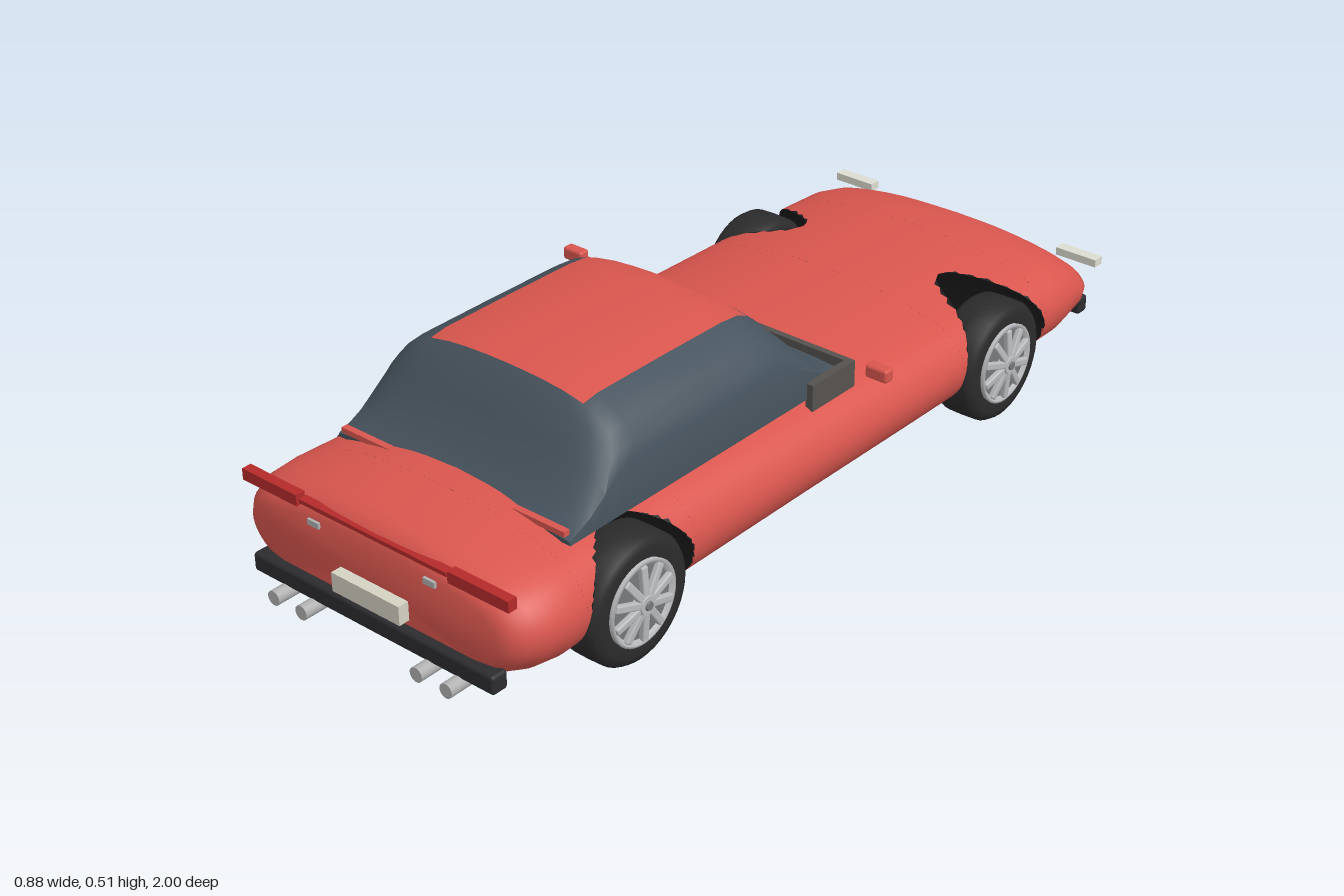
import * as THREE from 'three';
import { toCreasedNormals } from 'three/addons/utils/BufferGeometryUtils.js';
import { RoundedBoxGeometry } from 'three/addons/geometries/RoundedBoxGeometry.js';

const mat = (color) => new THREE.MeshStandardMaterial({ color, side: THREE.DoubleSide });
const M = {
  paint: mat(0xd9564e), glass: mat(0x46535d), dark: mat(0x1c1c1e), tyre: mat(0x2b2b2b),
  bumper: mat(0x2c2c30), cowl: mat(0x55524f), rim: mat(0xb9babd), recess: mat(0x77787b),
  tail: mat(0xb52a2a), plate: mat(0xd5d2c2), chrome: mat(0xb0b0b0), lamp: mat(0xdcdcd2),
};
const WHEEL_Z = [-0.585, 0.62], AXLE_Y = 0.143, ARCH_R = 0.157;

function add(parent, name, geometry, material, x = 0, y = 0, z = 0) {
  const mesh = new THREE.Mesh(geometry, material);
  mesh.name = name;
  mesh.position.set(x, y, z);
  parent.add(mesh);
  return mesh;
}
const box = (w, h, d, r = 0) => r ? new RoundedBoxGeometry(w, h, d, 2, r) : new THREE.BoxGeometry(w, h, d);

// Piecewise interpolation in rows [key, v1, v2, ...]
function lookup(rows, k) {
  let i = 0;
  while (i < rows.length - 2 && k > rows[i + 1][0]) i++;
  const a = rows[i], b = rows[i + 1];
  const t = THREE.MathUtils.clamp((k - a[0]) / (b[0] - a[0]), 0, 1);
  return a.slice(1).map((v, n) => v + (b[n + 1] - v) * t);
}

// Skin closed rings, sorting the quads into parts by a rule
function loft(parent, rings, pick, parts, crease) {
  const lists = parts.map(() => []);
  const tri = (k, a, b, c) => {
    const n = b.clone().sub(a).cross(c.clone().sub(a));
    if (n.length() > 1e-9) [a, b, c].forEach((p) => lists[k].push(p.x, p.y, p.z));
  };
  const N = rings[0].length;
  for (let i = 0; i < rings.length - 1; i++) {
    for (let j = 0; j < N; j++) {
      const m = (j + 1) % N;
      const a = rings[i][j], b = rings[i][m], c = rings[i + 1][m], d = rings[i + 1][j];
      const k = pick(a, b, c, d, j);
      tri(k, a, d, c);
      tri(k, a, c, b);
    }
  }
  [rings[0], rings[rings.length - 1]].forEach((r, e) => {
    const mid = r.reduce((s, p) => s.add(p), new THREE.Vector3()).divideScalar(N);
    for (let j = 0; j < N; j++) {
      const m = (j + 1) % N;
      if (e) tri(0, mid, r[m], r[j]); else tri(0, mid, r[j], r[m]);
    }
  });
  parts.forEach(([name, material], k) => {
    const g = new THREE.BufferGeometry();
    g.setAttribute('position', new THREE.Float32BufferAttribute(lists[k], 3));
    add(parent, name, toCreasedNormals(g, crease), material);
  });
}
const mirrorRing = (half) => half.concat(
  half.slice(1, -1).reverse().map((p) => new THREE.Vector3(-p.x, p.y, p.z)));

// Main shell with wheel arches cut right across
function buildBody(car) {
  // z, half width, top, bottom
  const plan = [
    [-0.975, 0.31, 0.215, 0.11], [-0.965, 0.335, 0.235, 0.098], [-0.93, 0.352, 0.265, 0.078],
    [-0.88, 0.362, 0.293, 0.062], [-0.82, 0.374, 0.306, 0.056], [-0.7, 0.376, 0.311, 0.055],
    [-0.3, 0.376, 0.316, 0.055], [0.1, 0.375, 0.324, 0.055], [0.5, 0.376, 0.331, 0.055],
    [0.72, 0.38, 0.335, 0.055], [0.82, 0.386, 0.333, 0.06], [0.88, 0.382, 0.327, 0.072],
    [0.92, 0.365, 0.315, 0.085], [0.94, 0.345, 0.298, 0.1], [0.948, 0.315, 0.28, 0.118]];
  const shape = [[0, 1], [0.3, 0.985], [0.55, 0.94], [0.78, 0.865], [0.89, 0.79], [0.965, 0.67],
    [1, 0.52], [0.975, 0.35], [0.89, 0.2], [0.77, 0.095], [0.6, 0.04], [0.3, 0.01], [0, 0]];
  const curve = new THREE.CatmullRomCurve3(shape.map(([x, y]) => new THREE.Vector3(x, y, 0)));
  const steps = 36;
  const section = curve.getPoints(steps);
  section[0].x = section[steps].x = 0;

  // Stations: every plan row, plus close steps round each arch
  const stations = plan.map((r) => [r[0], null]);
  for (let z = -0.8; z < 0.9; z += 0.1) stations.push([z, null]);
  const clear = stations.filter(([z]) => WHEEL_Z.every((w) => Math.abs(z - w) > ARCH_R + 0.005));
  WHEEL_Z.forEach((w) => {
    clear.push([w - ARCH_R - 1e-4, null], [w + ARCH_R + 1e-4, null]);
    for (let i = 0; i <= 24; i++) {
      const t = Math.PI * i / 24;
      clear.push([w - ARCH_R * Math.cos(t), AXLE_Y + ARCH_R * Math.sin(t)]);
    }
  });
  clear.sort((a, b) => a[0] - b[0]);

  const rings = clear.map(([z, cut]) => {
    const [w, top, bottom] = lookup(plan, z);
    const pts = section.map((p) => new THREE.Vector3(p.x * w, bottom + p.y * (top - bottom), z));
    if (cut !== null) {
      const n = pts.findIndex((p) => p.y < cut);
      const a = pts[n - 1], b = pts[n];
      const edge = a.x + (b.x - a.x) * (a.y - cut) / (a.y - b.y);
      for (let j = n; j <= steps; j++) {
        pts[j].y = cut;
        pts[j].x = Math.min(pts[j].x, edge);
      }
    }
    const ring = mirrorRing(pts);
    ring.forEach((p) => { p.cut = cut !== null && p.y <= cut + 1e-6; });
    return ring;
  });
  const floorFrom = section.findIndex((p) => p.y < 0.1);
  loft(car, rings, (a, b, c, d, j) => {
    const floor = j >= floorFrom && j < 2 * steps - floorFrom;
    const wall = Math.abs(a.z - d.z) < 2e-4;
    return floor || wall || [a, b, c, d].filter((p) => p.cut).length >= 3 ? 1 : 0;
  }, [['bodyShell', M.paint], ['underbody', M.dark]], 0.7);
}

// Glasshouse with a painted roof panel
function buildCabin(car) {
  const base = 0.3;
  const profile = [[-0.095, 0.318], [-0.06, 0.326], [-0.03, 0.36], [0.04, 0.438], [0.075, 0.475],
    [0.1, 0.496], [0.13, 0.51], [0.18, 0.515], [0.35, 0.516], [0.54, 0.515], [0.58, 0.508],
    [0.605, 0.485], [0.64, 0.43], [0.68, 0.37], [0.71, 0.34], [0.74, 0.316]];
  const arc = [[0, 1], [0.05, 0.997], [0.1, 0.985], [0.15, 0.962], [0.2, 0.915], [0.235, 0.845],
    [0.265, 0.745], [0.29, 0.61], [0.306, 0.48], [0.308, 0], [0, 0]];
  const rings = profile.map(([z, top]) => mirrorRing(arc.map(([x, f]) => {
    const inset = z < 0 ? 0.97 : 1;
    return new THREE.Vector3(x * inset, base + f * (top - base), z);
  })));
  loft(car, rings, (a, b, c, d) => {
    const x = Math.abs(a.x + b.x) / 2, z = (a.z + d.z) / 2;
    const onRoof = a.y > 0.4 && z < 0.58 && ((x < 0.2 && z > 0.1) || (x < 0.1 && z > 0.075));
    return onRoof ? 1 : 0;
  }, [['windows', M.glass], ['roofPanel', M.paint]], 0.8);

  // Scuttle round the foot of the windscreen
  add(car, 'cowlFront', box(0.64, 0.06, 0.015), M.cowl, 0, 0.305, -0.097);
  for (const s of [-1, 1]) {
    add(car, 'cowlSide', box(0.018, 0.06, 0.14), M.cowl, s * 0.312, 0.305, -0.034);
    add(car, 'rearWindowHinge', box(0.13, 0.012, 0.015), M.paint, s * 0.23, 0.32, 0.735);
  }
}

function buildWheel() {
  const wheel = new THREE.Group();
  const outline = (pts) => pts.map(([r, y]) => new THREE.Vector2(r, y));
  // Axis of the lathes is y, outer side is +y
  const tyre = new THREE.LatheGeometry(outline([[0.001, -0.05], [0.115, -0.052], [0.13, -0.047], [0.138, -0.035],
    [0.139, 0], [0.138, 0.035], [0.13, 0.047], [0.115, 0.052], [0.092, 0.05], [0.088, 0.035]]), 40);
  add(wheel, 'tyre', toCreasedNormals(tyre, 0.7), M.tyre);
  const rim = new THREE.LatheGeometry(outline([[0.09, 0.045], [0.092, 0.056], [0.086, 0.058], [0.078, 0.05]]), 40);
  add(wheel, 'rim', rim, M.rim);
  const dish = new THREE.LatheGeometry(outline([[0.09, 0.045], [0.05, 0.048], [0.001, 0.05]]), 40);
  add(wheel, 'rimDish', dish, M.recess);
  for (let i = 0; i < 10; i++) {
    const arm = new THREE.Group();
    arm.name = 'spoke';
    arm.rotation.y = i * Math.PI / 5;
    add(arm, 'spokeBar', box(0.066, 0.014, 0.017, 0.004), M.rim, 0.05, 0.056, 0).rotation.z = -0.08;
    wheel.add(arm);
  }
  add(wheel, 'hub', new THREE.CylinderGeometry(0.02, 0.028, 0.02, 20), M.rim, 0, 0.058, 0);
  add(wheel, 'hubCap', new THREE.CylinderGeometry(0.009, 0.011, 0.006, 16), M.recess, 0, 0.069, 0);
  return wheel;
}

export function createModel() {
  const car = new THREE.Group();
  car.name = 'car';
  buildBody(car);
  buildCabin(car);

  for (const z of WHEEL_Z) {
    for (const s of [-1, 1]) {
      const wheel = buildWheel();
      wheel.name = z < 0 ? 'noseWheel' : 'tailWheel';
      wheel.position.set(s * 0.324, AXLE_Y, z);
      wheel.rotation.z = -s * Math.PI / 2;
      car.add(wheel);
    }
  }

  // Nose end
  add(car, 'noseBumper', box(0.65, 0.042, 0.035, 0.008), M.bumper, 0, 0.11, -0.9825);
  add(car, 'grille', box(0.38, 0.055, 0.02), M.dark, 0, 0.165, -0.971);
  // Tail end
  add(car, 'tailBumper', box(0.645, 0.042, 0.04, 0.008), M.bumper, 0, 0.116, 0.948);
  add(car, 'numberPlate', box(0.18, 0.042, 0.03), M.plate, 0, 0.171, 0.958);
  add(car, 'tailLightStrip', box(0.39, 0.009, 0.02), M.tail, 0, 0.295, 0.938);
  const pipe = new THREE.CylinderGeometry(0.016, 0.016, 0.09, 20).rotateX(Math.PI / 2);
  for (const s of [-1, 1]) {
    add(car, 'headlight', box(0.105, 0.018, 0.028), M.lamp, s * 0.315, 0.242, -0.963);
    add(car, 'mirror', box(0.054, 0.03, 0.028, 0.007), M.paint, s * 0.411, 0.357, -0.064);
    add(car, 'tailLight', box(0.152, 0.025, 0.022), M.tail, s * 0.276, 0.294, 0.939);
    add(car, 'reflector', box(0.03, 0.013, 0.02), M.chrome, s * 0.154, 0.263, 0.944);
    for (const x of [0.155, 0.232]) add(car, 'exhaustPipe', pipe, M.chrome, s * x, 0.085, 0.955);
  }
  return car;
}
